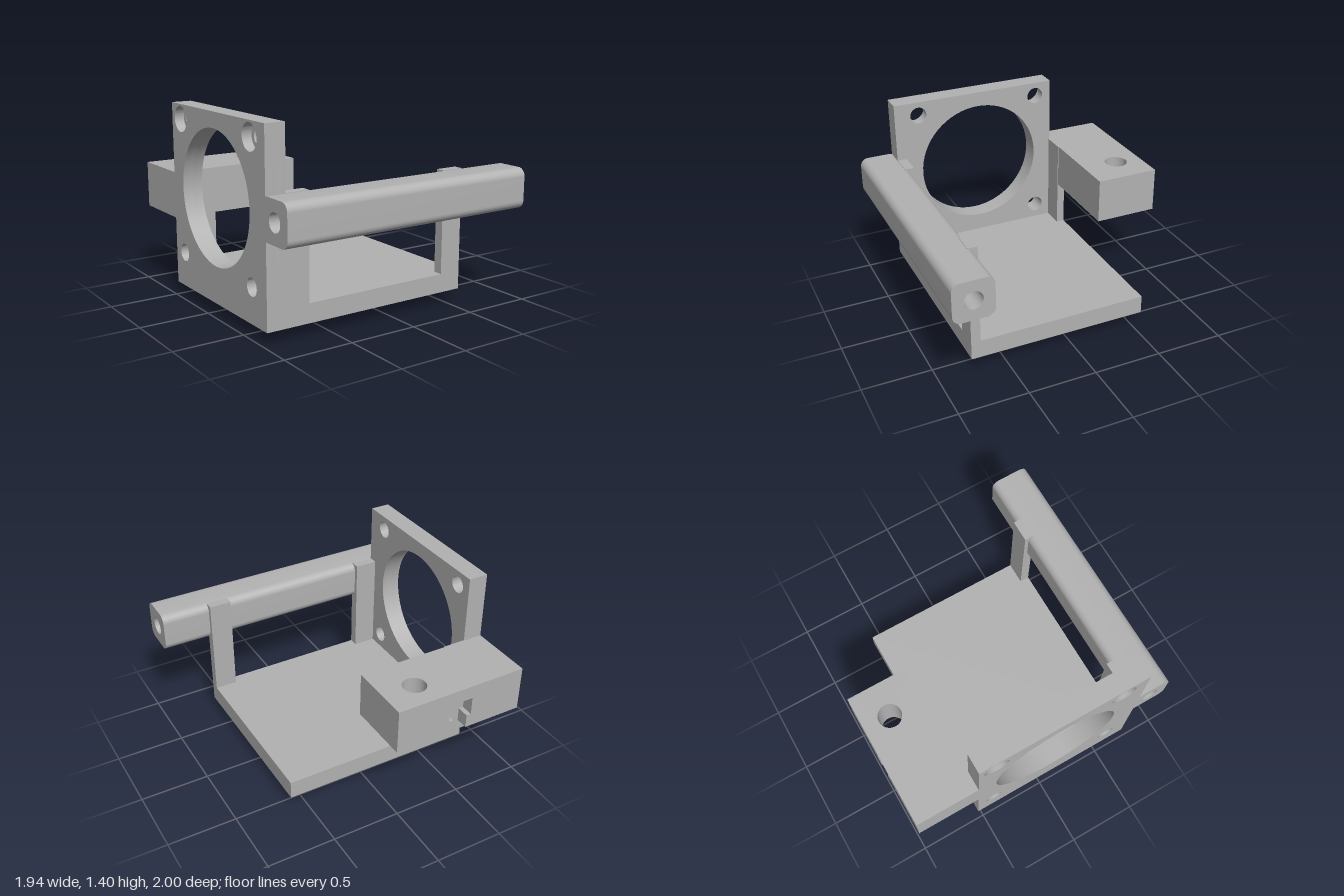
import * as THREE from 'three';
import { toCreasedNormals } from 'three/addons/utils/BufferGeometryUtils.js';

export function createModel() {
  const model = new THREE.Group();
  model.name = 'fanBracket';
  const grey = new THREE.MeshStandardMaterial({ color: 0xb2b2b2 });
  grey.name = 'grey plastic';

  const add = (name, geometry) => {
    const mesh = new THREE.Mesh(geometry, grey);
    mesh.name = name;
    model.add(mesh);
    return mesh;
  };

  const box = (name, x0, x1, y0, y1, z0, z1) =>
    add(name, new THREE.BoxGeometry(x1 - x0, y1 - y0, z1 - z0))
      .position.set((x0 + x1) / 2, (y0 + y1) / 2, (z0 + z1) / 2);

  // Outline from points, with round holes given as [u, v, radius]
  const outline = (points, holes = []) => {
    const shape = new THREE.Shape(points.map(([u, v]) => new THREE.Vector2(u, v)));
    return pierce(shape, holes);
  };
  const pierce = (shape, holes) => {
    for (const [u, v, r] of holes) {
      const hole = new THREE.Path();
      hole.absarc(u, v, r, 0, Math.PI * 2, true);
      shape.holes.push(hole);
    }
    return shape;
  };
  const extrude = (shape, depth) =>
    new THREE.ExtrudeGeometry(shape, { depth, bevelEnabled: false, curveSegments: 32 });

  // Plan outline in (x, -z), raised from y0 to y1
  const slab = (name, shape, y0, y1) =>
    add(name, toCreasedNormals(extrude(shape, y1 - y0).rotateX(-Math.PI / 2), 0.5)).position.y = y0;
  // Side outline in (-z, y), running from x0 to x1
  const sidePlate = (name, shape, x0, x1) =>
    add(name, toCreasedNormals(extrude(shape, x1 - x0).rotateY(Math.PI / 2), 0.5)).position.x = x0;

  // Base plate with a round recess underneath and a peg in it
  const basePlan = [[-0.825, -0.75], [0.61, -0.75], [0.61, 0.58], [-0.825, 0.58]];
  slab('baseLower', outline(basePlan, [[0.115, -0.09, 0.14]]), 0.085, 0.15);
  slab('baseUpper', outline(basePlan), 0.15, 0.22);
  add('peg', new THREE.CylinderGeometry(0.063, 0.063, 0.16, 32)).position.set(0.115, 0.08, 0.09);

  // Fan plate: big opening, four screw holes, upper two counterbored outside
  const platePlan = [[-0.75, 0.085], [0.525, 0.085], [0.525, 1.4], [-0.75, 1.4]];
  const fanHoles = upperRadius => [
    [-0.085, 0.82, 0.47],
    ...[-0.565, 0.395].flatMap(u => [[u, 0.335, 0.063], [u, 1.295, upperRadius]]),
  ];
  sidePlate('fanPlateOuter', outline(platePlan, fanHoles(0.092)), -0.97, -0.9);
  sidePlate('fanPlateInner', outline(platePlan, fanHoles(0.063)), -0.9, -0.825);

  // Upright posts
  box('frontPostRight', -0.825, -0.655, 0.22, 0.96, 0.68, 0.75);
  box('frontPostLeft', 0.445, 0.61, 0.22, 0.96, 0.68, 0.75);
  box('backPost', -0.825, -0.655, 0.22, 0.9, -0.58, -0.52);

  // Front bar: rounded square tube
  const bar = new THREE.Shape();
  const [u0, u1, v0, v1, r] = [-1, -0.71, 0.67, 0.96, 0.06];
  bar.absarc(u1 - r, v0 + r, r, -Math.PI / 2, 0);
  bar.absarc(u1 - r, v1 - r, r, 0, Math.PI / 2);
  bar.absarc(u0 + r, v1 - r, r, Math.PI / 2, Math.PI);
  bar.absarc(u0 + r, v0 + r, r, Math.PI, Math.PI * 1.5);
  sidePlate('frontBar', pierce(bar, [[-0.855, 0.815, 0.065]]), -0.97, 0.97);

  // Back block: vertical bore and a T-shaped slot in its rear face
  const blockPlan = slotHalf => outline([
    [-0.97, 0.525], [0.03, 0.525], [0.03, 1],
    ...(slotHalf ? [[-0.47 + slotHalf, 1], [-0.47 + slotHalf, 0.91],
      [-0.47 - slotHalf, 0.91], [-0.47 - slotHalf, 1]] : []),
    [-0.97, 1],
  ], [[-0.22, 0.8, 0.085]]);
  slab('blockLower', blockPlan(0.055), 0.565, 0.665);
  slab('blockMiddle', blockPlan(0.09), 0.665, 0.8);
  slab('blockUpper', blockPlan(0), 0.8, 0.9);

  return model;
}
